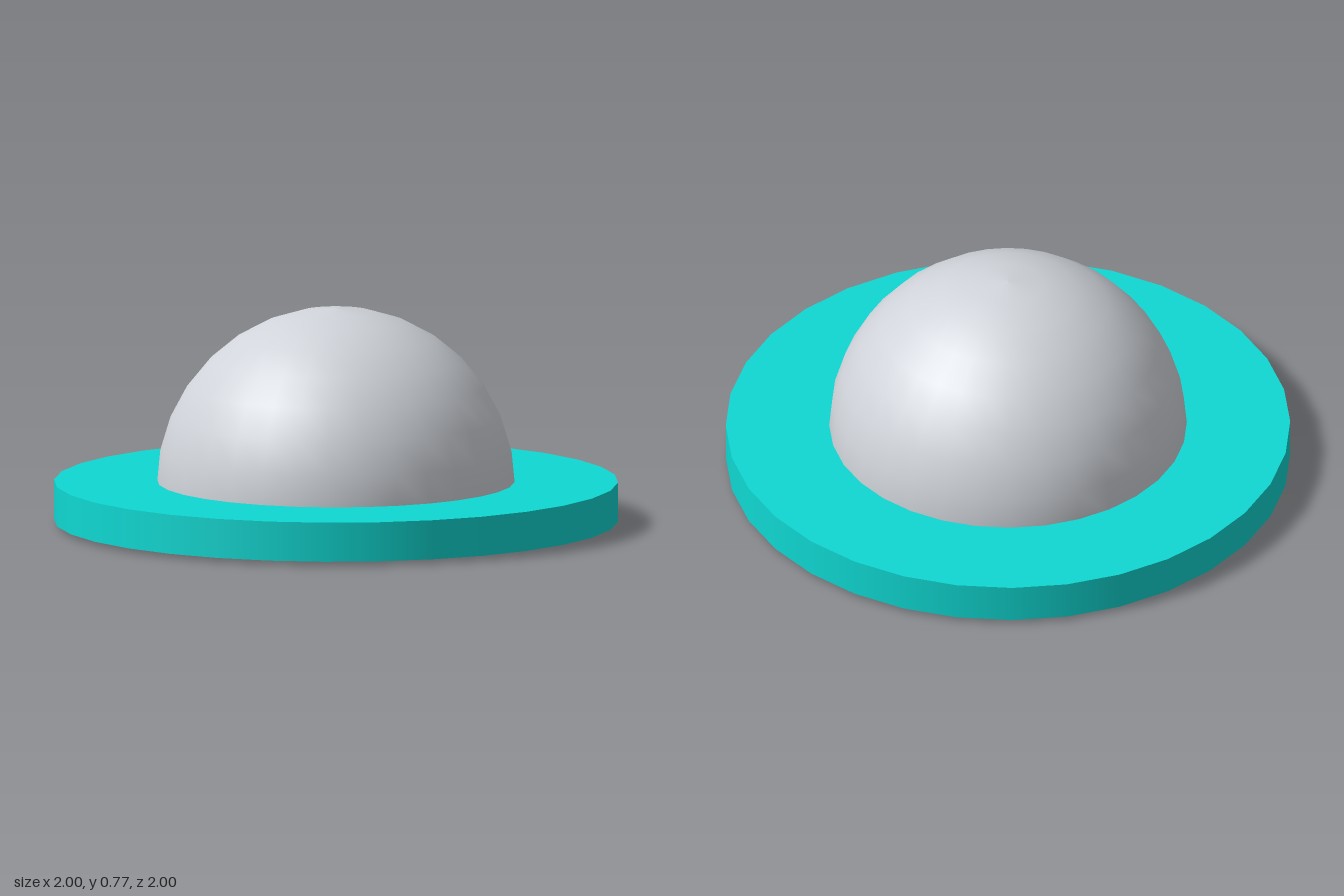
import * as THREE from 'three';

const SIDES = 32;
const CENTRE_Y = 0.14;

// Revolved surface; a profile running upwards faces outwards
function revolve(name, points, material) {
  const profile = points.map(([r, y]) => new THREE.Vector2(r, y));
  const mesh = new THREE.Mesh(new THREE.LatheGeometry(profile, SIDES), material);
  mesh.name = name;
  return mesh;
}

// Points along a sphere from a start latitude (degrees) up to the apex
function arc(radius, startLatitude) {
  const points = [];
  const at = (deg) => {
    const a = THREE.MathUtils.degToRad(deg);
    points.push([Math.max(0, radius * Math.cos(a)), CENTRE_Y + radius * Math.sin(a)]);
  };
  at(startLatitude);
  for (let i = 0; i <= 8; i++) at(i * 11.25);
  return points;
}

export function createModel() {
  const model = new THREE.Group();
  model.name = 'domedDisc';

  const shellGrey = new THREE.MeshStandardMaterial({ color: 0xd0d4da });
  shellGrey.name = 'shellGrey';
  const brimTeal = new THREE.MeshStandardMaterial({ color: 0x0fd8d2 });
  brimTeal.name = 'brimTeal';

  // Hollow dome: outer skin, inner skin and the sloping lip between them
  const dome = new THREE.Group();
  dome.name = 'dome';
  const outer = arc(0.635, -11.25);
  const inner = arc(0.54, -15);
  dome.add(
    revolve('domeOuter', outer, shellGrey),
    revolve('domeInner', [...inner].reverse(), shellGrey),
    revolve('domeLip', [inner[0], outer[0]], shellGrey)
  );

  // Flat brim around the dome
  const brim = new THREE.Group();
  brim.name = 'brim';
  const low = 0.015, high = 0.155, hole = 0.61;
  brim.add(
    revolve('brimUnderside', [[hole, low], [1, low]], brimTeal),
    revolve('brimEdge', [[1, low], [1, high]], brimTeal),
    revolve('brimTop', [[1, high], [hole, high]], brimTeal)
  );

  model.add(dome, brim);
  return model;
}
